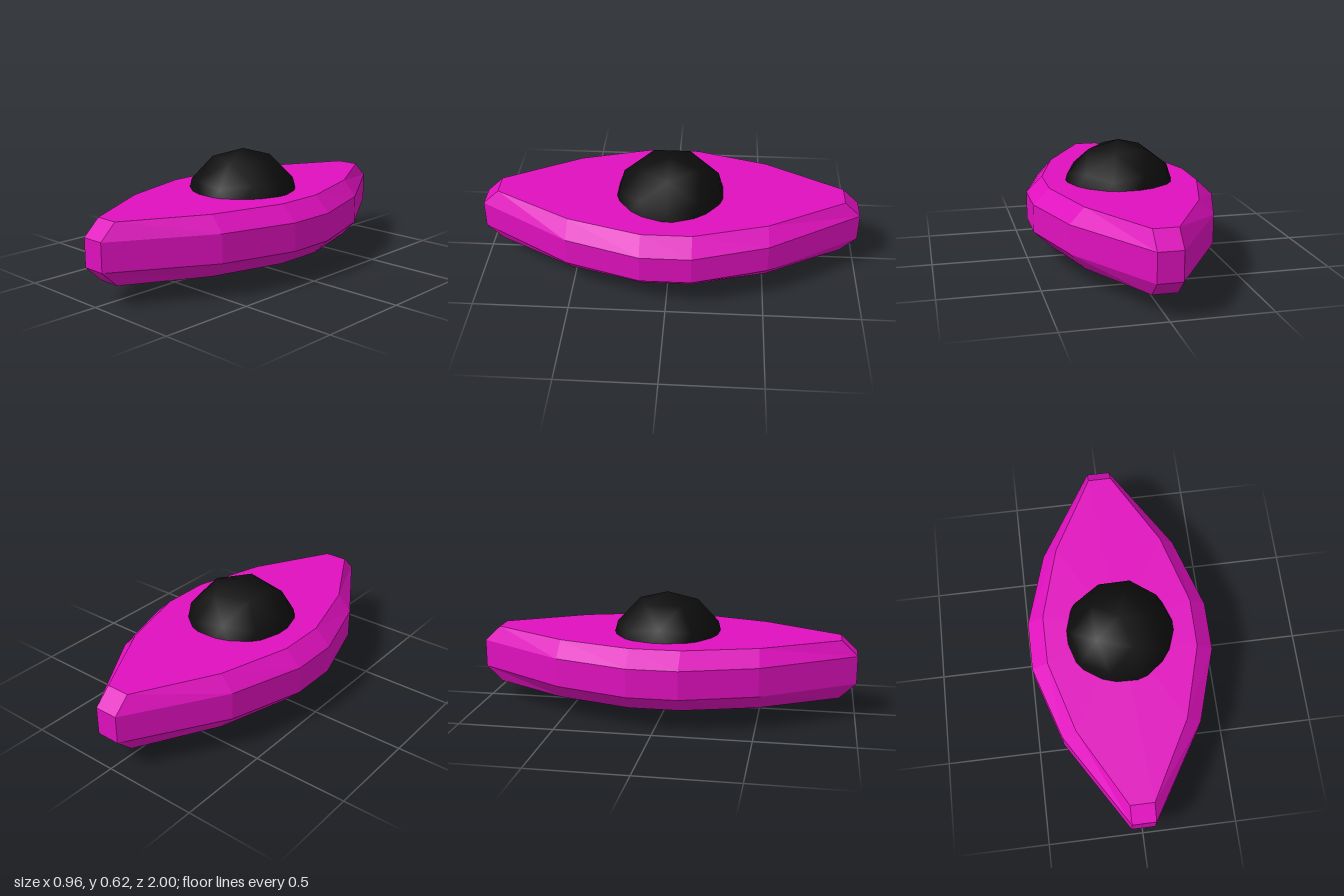
import * as THREE from 'three';

// Mirrors one quadrant of [x, z] points into a closed outline running from +x towards +z
function mirrorOutline(quarter) {
  const back = [...quarter].reverse();
  return [
    ...quarter,
    ...back.map(([x, z]) => [-x, z]),
    ...quarter.map(([x, z]) => [-x, -z]),
    ...back.map(([x, z]) => [x, -z]),
  ];
}

// Stacks outlines into a closed solid: side bands plus a flat cap at each end
function loftSolid(levels) {
  const rings = levels.map(([y, outline]) => outline.map(([x, z]) => [x, y, z]));
  const n = rings[0].length;
  const last = rings.length - 1;
  const bottom = [0, levels[0][0], 0];
  const top = [0, levels[last][0], 0];
  const pos = [];
  const tri = (a, b, c) => pos.push(...a, ...b, ...c);
  for (let i = 0; i < n; i++) {
    const j = (i + 1) % n;
    for (let k = 0; k < last; k++) {
      const lo = rings[k], hi = rings[k + 1];
      tri(lo[i], hi[i], hi[j]);
      tri(lo[i], hi[j], lo[j]);
    }
    tri(bottom, rings[0][i], rings[0][j]);
    tri(top, rings[last][j], rings[last][i]);
  }
  const geo = new THREE.BufferGeometry();
  geo.setAttribute('position', new THREE.Float32BufferAttribute(pos, 3));
  geo.computeVertexNormals();
  return geo;
}

export function createModel() {
  const model = new THREE.Group();
  model.name = 'eyeShapedHull';

  // Pointed, bevelled hull
  const rim = mirrorOutline([[0.48, 0.13], [0.36, 0.515], [0.062, 1]]);
  const face = mirrorOutline([[0.394, 0.13], [0.285, 0.51], [0.062, 0.915]]);
  const hull = new THREE.Mesh(
    loftSolid([[0.1, face], [0.182, rim], [0.329, rim], [0.41, face]]),
    new THREE.MeshStandardMaterial({ color: 0xe010be, flatShading: true })
  );
  hull.name = 'hull';
  model.add(hull);

  // Low-poly ball through the middle, turned so a corner points straight up
  const ballGeo = new THREE.IcosahedronGeometry(0.311, 1);
  ballGeo.rotateZ(-Math.atan(2 / (1 + Math.sqrt(5))));
  const ball = new THREE.Mesh(ballGeo, new THREE.MeshStandardMaterial({ color: 0x0d0d0d }));
  ball.name = 'centreBall';
  ball.position.y = 0.311;
  model.add(ball);

  return model;
}
